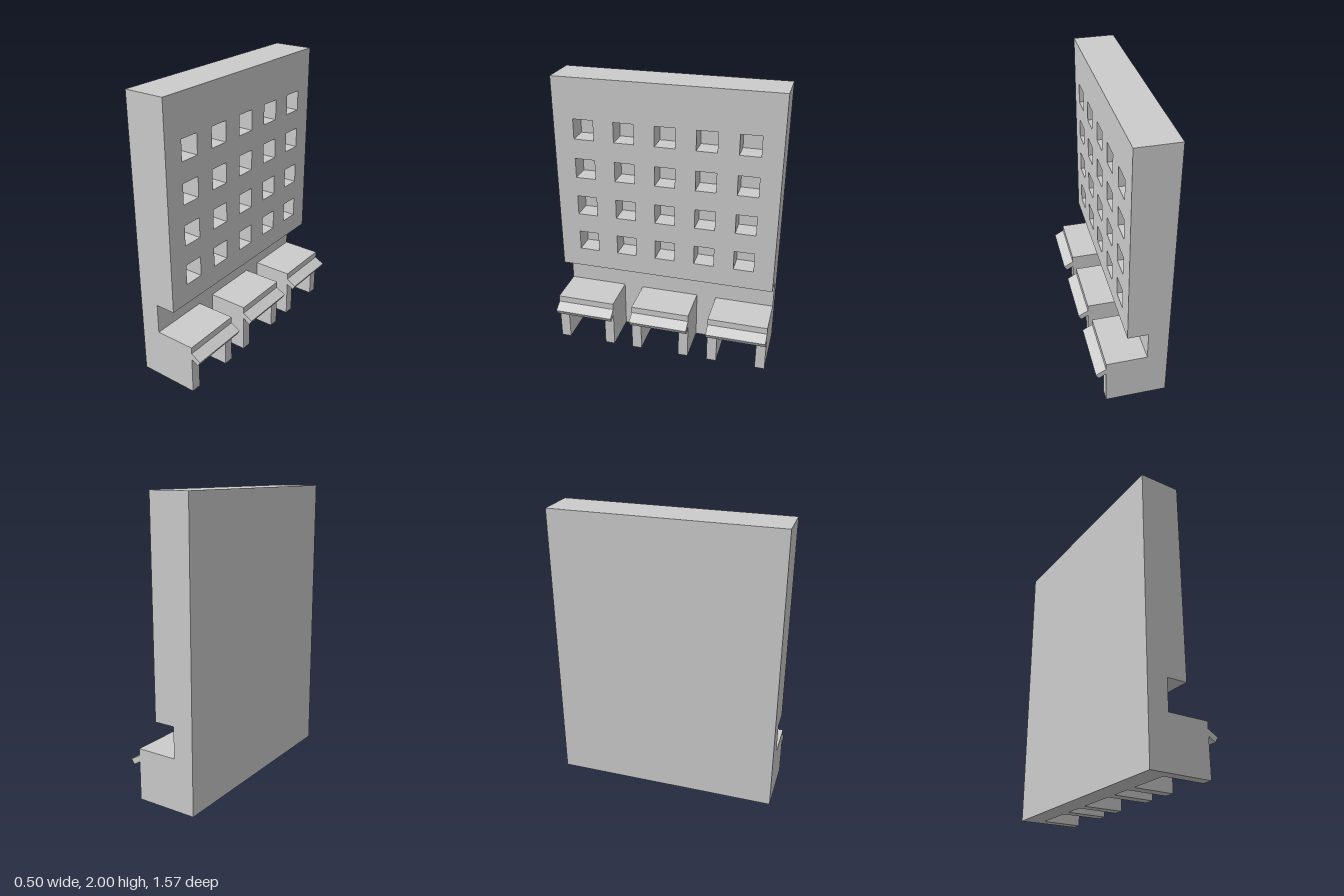
import * as THREE from 'three';

const U = 2 / 28;              // building module
const WIDTH = 22 * U;          // along z
const BACK = -0.25;            // rear face of the building (x)
const material = new THREE.MeshStandardMaterial({ color: 0xcccccc, flatShading: true });

function shapeOf(points) {
  return new THREE.Shape(points.map(([a, b]) => new THREE.Vector2(a, b)));
}

function rect(PathType, x, y, w, h) {
  const p = new PathType();
  p.moveTo(x, y);
  p.lineTo(x + w, y);
  p.lineTo(x + w, y + h);
  p.lineTo(x, y + h);
  p.closePath();
  return p;
}

function part(name, geometry) {
  const mesh = new THREE.Mesh(geometry, material);
  mesh.name = name;
  return mesh;
}

// Extrude an elevation drawn in the street plane outwards along +x
function extrudeOut(shape, depth, fromX) {
  return new THREE.ExtrudeGeometry(shape, { depth, bevelEnabled: false })
    .rotateY(Math.PI / 2)
    .translate(fromX, 0, 0);
}

export function createModel() {
  const model = new THREE.Group();
  model.name = 'building';
  const wallFront = BACK + 2 * U;

  // Full-height rear slab
  const slab = new THREE.BoxGeometry(2 * U, 2, WIDTH).translate(BACK + U, 1, 0);
  model.add(part('rearSlab', slab));

  // Overhanging facade with a grid of window recesses
  const facade = rect(THREE.Shape, -WIDTH / 2, 8 * U, WIDTH, 20 * U);
  for (let row = 0; row < 4; row++) {
    for (let col = -2; col <= 2; col++) {
      facade.holes.push(rect(THREE.Path, (4 * col - 1) * U, (10 + 4 * row) * U, 2 * U, 2 * U));
    }
  }
  model.add(part('windowFacade', extrudeOut(facade, 2 * U, wallFront)));

  // Three open-fronted shops with sloping awnings
  const shopShape = shapeOf([
    [-3 * U, 0], [-2 * U, 0], [-2 * U, 4 * U], [2 * U, 4 * U],
    [2 * U, 0], [3 * U, 0], [3 * U, 5 * U], [-3 * U, 5 * U],
  ]);
  const shopFront = BACK + 6 * U;
  const awningShape = shapeOf([
    [shopFront, 0.264], [0.229, 0.235], [0.249, 0.27], [shopFront, 0.31],
  ]);
  for (const i of [-1, 0, 1]) {
    const shop = new THREE.Group();
    shop.name = 'shop';
    shop.position.z = i * 8 * U;
    shop.add(part('shopShell', extrudeOut(shopShape, 4 * U, wallFront)));
    const awning = new THREE.ExtrudeGeometry(awningShape, { depth: 6 * U, bevelEnabled: false })
      .translate(0, 0, -3 * U);
    shop.add(part('awning', awning));
    model.add(shop);
  }
  return model;
}
